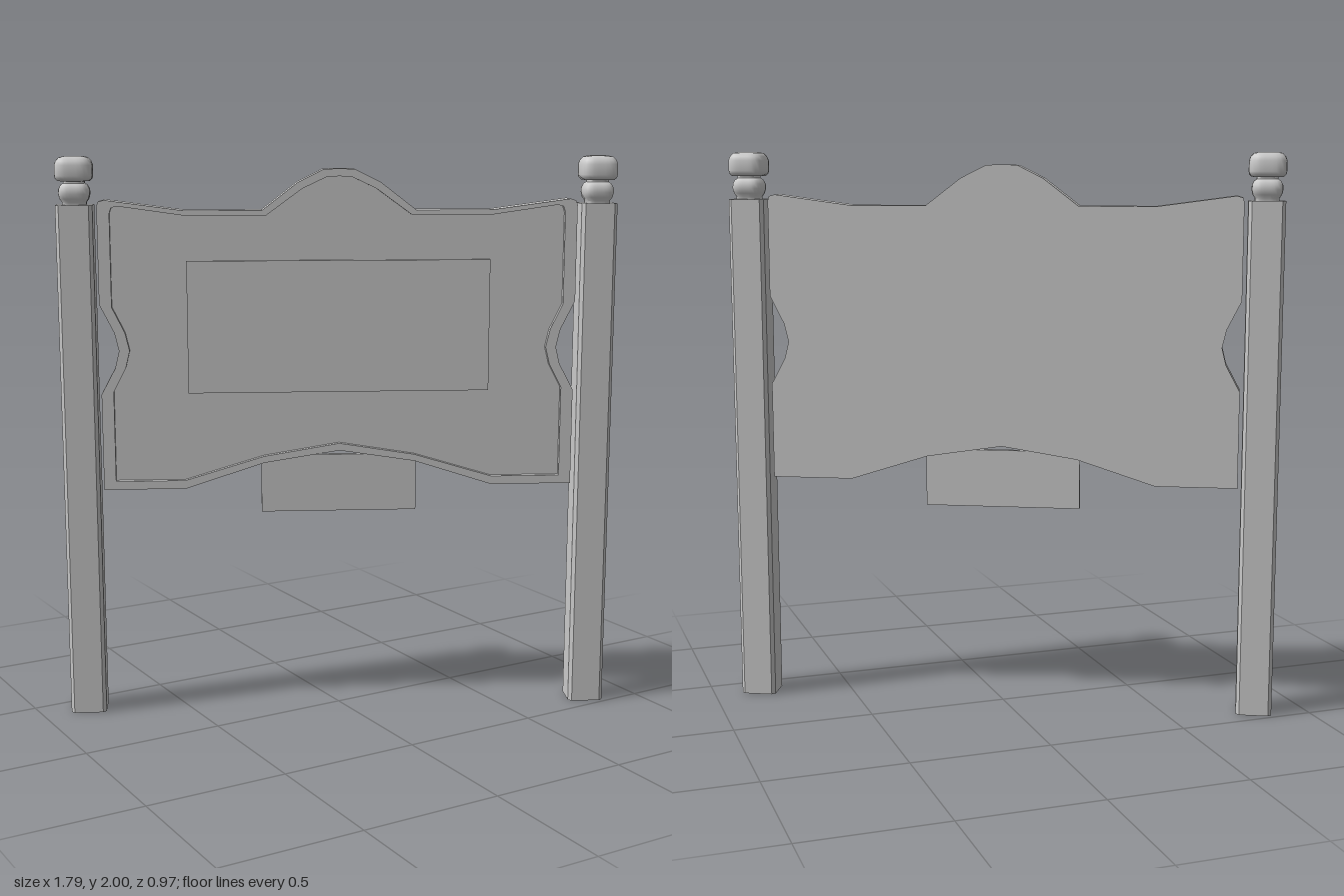
import * as THREE from 'three';
import { toCreasedNormals, mergeVertices } from 'three/addons/utils/BufferGeometryUtils.js';

const material = new THREE.MeshStandardMaterial({ color: 0xcccccc });

function part(name, geometry, parent) {
  const mesh = new THREE.Mesh(geometry, material);
  mesh.name = name;
  parent.add(mesh);
  return mesh;
}

// Mirrors a right-hand half outline (bottom centre to top) into a closed loop
function mirrored(half) {
  const left = half.filter(([x]) => x > 0).reverse().map(([x, y]) => [-x, y]);
  return [...half, ...left].map(([x, y]) => new THREE.Vector2(x, y));
}

function extrude(shape, depth, z) {
  const geometry = new THREE.ExtrudeGeometry(shape, { depth, bevelEnabled: false });
  geometry.translate(0, 0, z);
  return toCreasedNormals(geometry, 0.5);
}

const outerEdge = mirrored([
  [0, 0.96], [0.27, 0.918], [0.55, 0.828], [0.84, 0.828],
  [0.84, 1.172], [0.79, 1.265], [0.775, 1.326], [0.79, 1.39], [0.84, 1.49],
  [0.84, 1.83], [0.835, 1.845], [0.815, 1.851],
  [0.54, 1.814], [0.27, 1.814], [0.145, 1.91], [0.055, 1.955], [0, 1.957],
]);

const innerEdge = mirrored([
  [0, 0.986], [0.27, 0.942], [0.55, 0.858], [0.797, 0.858],
  [0.797, 1.18], [0.753, 1.265], [0.738, 1.326], [0.753, 1.39], [0.797, 1.48],
  [0.797, 1.805], [0.79, 1.825], [0.77, 1.83],
  [0.54, 1.797], [0.255, 1.797], [0.13, 1.888], [0.045, 1.928], [0, 1.931],
]);

// Square post with chamfered corners
function postGeometry() {
  const w = 0.0635, d = 0.058, c = 0.012;
  const shape = new THREE.Shape([
    [w - c, -d], [w, c - d], [w, d - c], [w - c, d],
    [c - w, d], [-w, d - c], [-w, c - d], [c - w, -d],
  ].map(([x, y]) => new THREE.Vector2(x, y)));
  return extrude(shape, 1.834, 0).rotateX(-Math.PI / 2);
}

// Turned profile whose rings are pushed out into rounded squares
function finialGeometry() {
  const profile = [
    [0, 1.83], [0.042, 1.83], [0.042, 1.843], [0.05, 1.855], [0.054, 1.872],
    [0.053, 1.888], [0.046, 1.902], [0.037, 1.908], [0.037, 1.915],
    [0.055, 1.916], [0.063, 1.924], [0.065, 1.934], [0.065, 1.97],
    [0.06, 1.984], [0.049, 1.996], [0.03, 2], [0, 2],
  ].map(([r, y]) => new THREE.Vector2(r, y));
  const lathe = new THREE.LatheGeometry(profile, 32);
  const pos = lathe.attributes.position;
  for (let i = 0; i < pos.count; i++) {
    const x = pos.getX(i), z = pos.getZ(i);
    const r = Math.hypot(x, z);
    if (r < 1e-6) continue;
    const k = Math.pow((x / r) ** 4 + (z / r) ** 4, -0.25);
    pos.setX(i, x * k);
    pos.setZ(i, z * k);
  }
  lathe.deleteAttribute('normal');
  lathe.deleteAttribute('uv');
  return toCreasedNormals(mergeVertices(lathe), 0.8);
}

export function createModel() {
  const model = new THREE.Group();
  model.name = 'signBoard';
  const sign = new THREE.Group();
  sign.name = 'turnedSign';
  sign.rotation.y = -0.464;
  model.add(sign);

  // Board with a raised rim around the front
  part('board', extrude(new THREE.Shape(outerEdge), 0.06, -0.04), sign);
  const rim = new THREE.Shape(outerEdge);
  rim.holes.push(new THREE.Path(innerEdge));
  part('rim', extrude(rim, 0.02, 0.02), sign);

  // Raised panel in the recess
  part('frontPanel', new THREE.BoxGeometry(1.07, 0.467, 0.03), sign)
    .position.set(0, 1.4055, 0.018);

  // Small plate hanging below the board
  part('hangingPlate', new THREE.BoxGeometry(0.558, 0.208, 0.018), sign)
    .position.set(0, 0.836, 0);

  // Posts with finials
  const post = postGeometry(), finial = finialGeometry();
  for (const [side, x] of [['left', 0.917], ['right', -0.917]]) {
    part(side + 'Post', post, sign).position.x = x;
    part(side + 'Finial', finial, sign).position.x = x;
  }
  return model;
}
